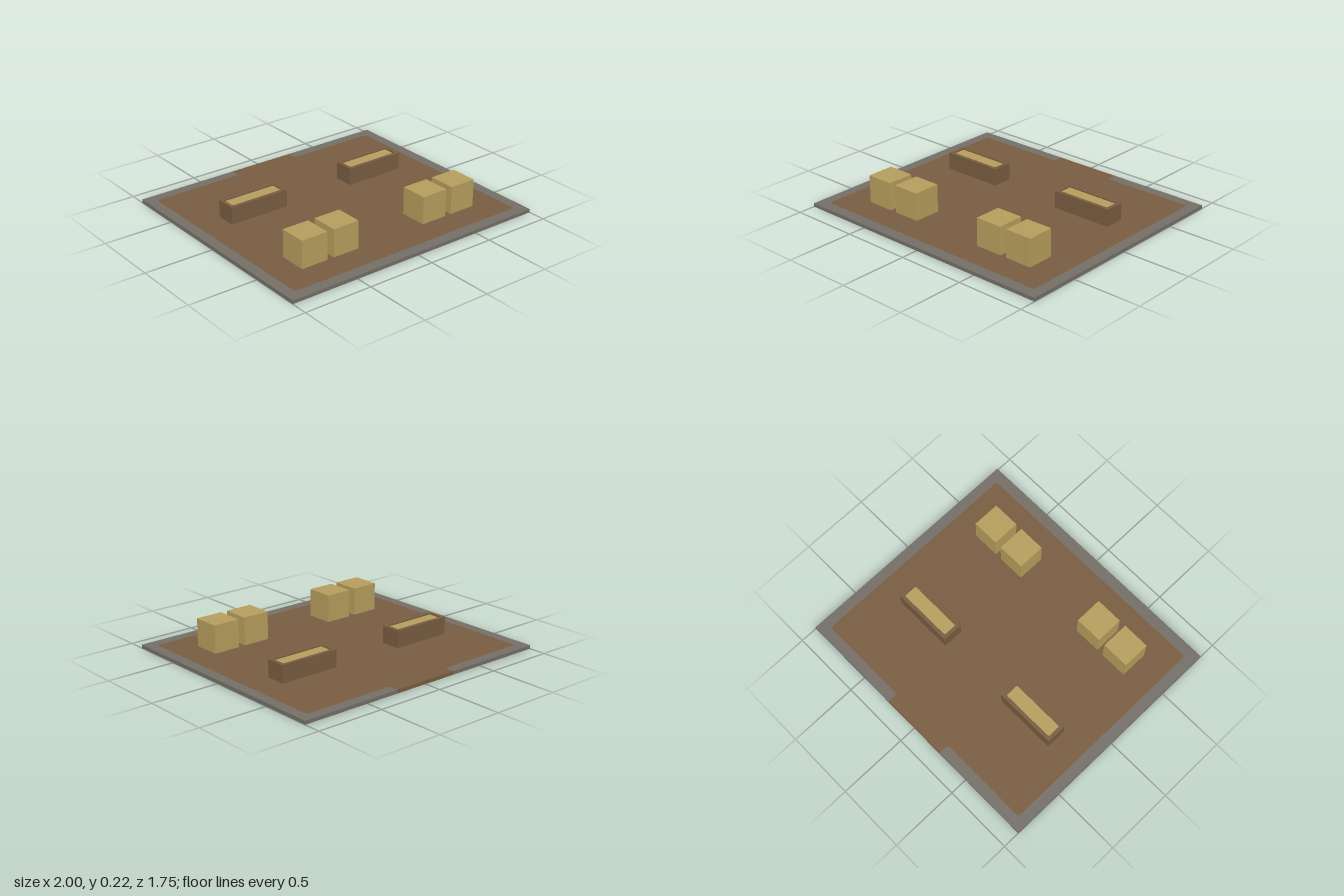
import * as THREE from 'three';

const BASE = 0.025;

function material(name, color) {
  const m = new THREE.MeshStandardMaterial({ color });
  m.name = name;
  return m;
}

// Extrudes a plan shape (shape y points to the back) upwards from y = bottom
function slab(name, shape, bottom, height, mat) {
  const geo = new THREE.ExtrudeGeometry(shape, { depth: height, bevelEnabled: false, curveSegments: 4 });
  geo.rotateX(-Math.PI / 2);
  const mesh = new THREE.Mesh(geo, mat);
  mesh.name = name;
  mesh.position.y = bottom;
  return mesh;
}

// Runs a path through the given corners, rounding all but the first and last
function roundedPath(path, pts, r) {
  const v = pts.map(([x, y]) => new THREE.Vector2(x, y));
  path.moveTo(v[0].x, v[0].y);
  for (let i = 1; i < v.length - 1; i++) {
    const a = v[i].clone().add(v[i - 1].clone().sub(v[i]).setLength(r));
    const b = v[i].clone().add(v[i + 1].clone().sub(v[i]).setLength(r));
    path.lineTo(a.x, a.y);
    path.quadraticCurveTo(v[i].x, v[i].y, b.x, b.y);
  }
  const end = v[v.length - 1];
  path.lineTo(end.x, end.y);
  return path;
}

function rect(path, w, d, r) {
  const x = w / 2, y = d / 2;
  return roundedPath(path, [[0, -y], [x, -y], [x, y], [-x, y], [-x, -y], [0, -y]], r);
}

export function createModel() {
  const stone = material('grey stone', 0x736e66);
  const earth = material('brown earth', 0x785c40);
  const straw = material('straw', 0xb59d5c);
  const group = new THREE.Group();
  group.name = 'stableFloor';

  // Shared outline between earth floor and stone border, open at the back
  const outline = [
    [-0.25, 0.875], [-0.25, 0.8], [-0.925, 0.8], [-0.925, -0.795],
    [0.925, -0.795], [0.925, 0.8], [0.25, 0.8], [0.25, 0.875],
  ];
  const floor = roundedPath(new THREE.Shape(), outline, 0.025);
  const border = roundedPath(new THREE.Shape(), outline, 0.025);
  for (const [x, y] of [[1, 0.875], [1, -0.875], [-1, -0.875], [-1, 0.875]]) border.lineTo(x, y);
  group.add(slab('earthFloor', floor, 0, BASE, earth));
  group.add(slab('stoneBorder', border, 0, BASE, stone));

  for (const side of [-1, 1]) {
    const label = side < 0 ? 'right' : 'left';

    // Feeding trough with straw filling
    const trough = new THREE.Group();
    trough.name = label + 'Trough';
    const walls = rect(new THREE.Shape(), 0.45, 0.15, 0.001);
    walls.holes.push(rect(new THREE.Path(), 0.4, 0.1, 0.012));
    trough.add(slab('troughWalls', walls, BASE, 0.125, earth));
    trough.add(slab('troughStraw', rect(new THREE.Shape(), 0.4, 0.1, 0.012), BASE, 0.117, straw));
    trough.position.set(side * 0.5, 0, -0.25);
    group.add(trough);

    // Pair of straw bales
    for (const dx of [-0.125, 0.125]) {
      const bale = new THREE.Mesh(new THREE.BoxGeometry(0.2, 0.2, 0.2), straw);
      bale.name = label + 'StrawBale';
      bale.position.set(side * 0.5 + dx, BASE + 0.1, 0.5);
      group.add(bale);
    }
  }
  return group;
}
